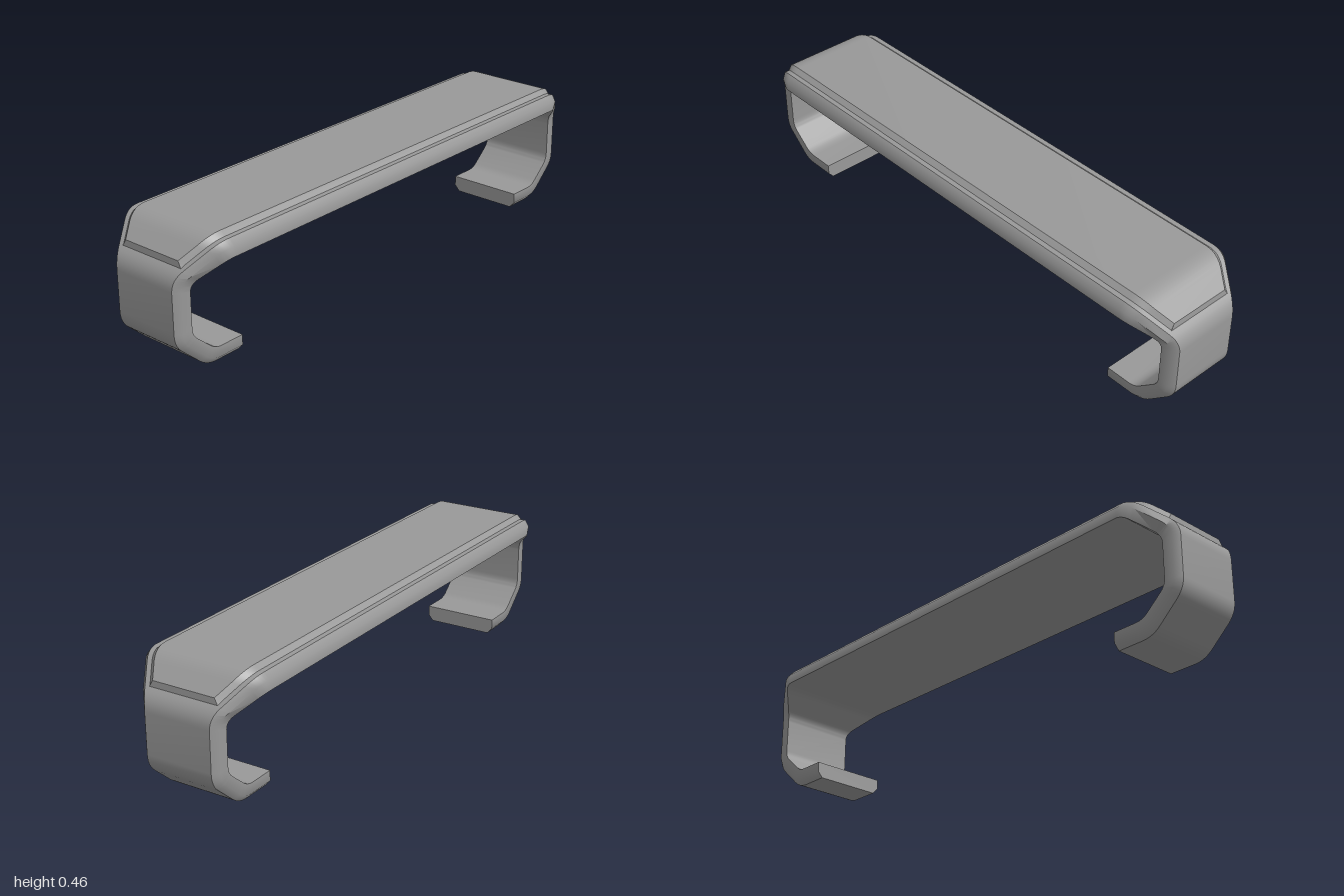
import * as THREE from 'three';
import { toCreasedNormals } from 'three/addons/utils/BufferGeometryUtils.js';

const material = new THREE.MeshStandardMaterial({ color: 0x999999 });

// Mirror half a path, given as [x, y, halfWidth], to the other side
function mirrored(half) {
  return [...half, ...half.map(([x, y, w]) => [-x, y, w]).reverse()].map((p) => new THREE.Vector3(...p));
}

// Round the corners of the path; each station holds position, half width and outward normal
function stationsAlong(points, cut, steps = 6) {
  const stations = [];
  const add = (p, t) => {
    const len = Math.hypot(t.x, t.y);
    stations.push({ x: p.x, y: p.y, w: p.z, nx: t.y / len, ny: -t.x / len });
  };
  const toward = (p, q) => p.clone().lerp(q, cut / Math.hypot(q.x - p.x, q.y - p.y));
  const last = points.length - 1;
  add(points[0], points[1].clone().sub(points[0]));
  for (let i = 1; i < last; i++) {
    const a = toward(points[i], points[i - 1]);
    const b = toward(points[i], points[i + 1]);
    const bend = new THREE.QuadraticBezierCurve3(a, points[i], b);
    for (let k = 0; k <= steps; k++) add(bend.getPoint(k / steps), bend.getTangent(k / steps));
  }
  add(points[last], points[last].clone().sub(points[last - 1]));
  return stations;
}

// Point at a depth below the path and a given z
const below = (s, depth, z) => [s.x - s.nx * depth, s.y - s.ny * depth, z];

// Loft a closed ring of corners through the stations, with end caps
function loft(name, stations, section, crease) {
  const positions = [];
  const index = [];
  let n = 0;
  stations.forEach((s, i) => {
    const ring = section(s, i);
    n = ring.length;
    positions.push(...ring.flat());
  });
  const lastRing = (stations.length - 1) * n;
  for (let o = 0; o < lastRing; o += n) {
    for (let j = 0; j < n; j++) {
      const a = o + j, b = o + (j + 1) % n;
      index.push(a, a + n, b, b, a + n, b + n);
    }
  }
  for (let k = 1; k < n - 1; k++) {
    index.push(0, k, k + 1, lastRing, lastRing + k + 1, lastRing + k);
  }
  const geometry = new THREE.BufferGeometry();
  geometry.setAttribute('position', new THREE.Float32BufferAttribute(positions, 3));
  geometry.setIndex(index);
  const mesh = new THREE.Mesh(toCreasedNormals(geometry, crease), material);
  mesh.name = name;
  return mesh;
}

export function createModel() {
  const group = new THREE.Group();
  group.name = 'clipBracket';

  // Bent strip: hooked ends, narrow sides and a wider top; its chamfers blend softly into the sides
  const outer = stationsAlong(mirrored([
    [0.735, 0, 0.14], [0.872, 0, 0.14], [1, 0.115, 0.14], [1, 0.335, 0.14], [0.875, 0.44, 0.22],
  ]), 0.04);
  const inner = stationsAlong(mirrored([
    [0.735, 0.057, 0.14], [0.85, 0.057, 0.14], [0.943, 0.137, 0.14], [0.943, 0.308, 0.14], [0.854, 0.384, 0.22],
  ]), 0.025);
  group.add(loft('bentStrip', outer, (s, i) => {
    const flat = s.w - 0.019;
    const { x, y, w } = inner[i];
    return [
      below(s, 0, flat), below(s, 0.021, s.w), [x, y, w],
      [x, y, -w], below(s, 0.021, -s.w), below(s, 0, -flat),
    ];
  }, Math.PI / 4));

  // Raised panel over the top and slopes, bevelled all round
  const height = 0.015, sink = 0.002;
  const panel = stationsAlong(mirrored([[0.965, 0.3644, 0.1624], [0.875, 0.44, 0.22]]), 0.04);
  const inset = (s, t) => {
    const f = height / Math.hypot(t.x - s.x, t.y - s.y);
    const mix = (k) => THREE.MathUtils.lerp(s[k], t[k], f);
    return { ...s, x: mix('x'), y: mix('y'), w: mix('w') };
  };
  const end = panel.length - 1;
  panel.splice(end, 0, inset(panel[end], panel[end - 1]));
  panel.splice(1, 0, inset(panel[0], panel[1]));
  group.add(loft('raisedPanel', panel, (s, i) => {
    const atEnd = i === 0 || i === panel.length - 1;
    const base = s.w - 0.035;
    const top = atEnd ? base : s.w - 0.055;
    const d = atEnd ? 0 : -height;
    return [below(s, d, top), below(s, sink, base), below(s, sink, -base), below(s, d, -top)];
  }, 0.5));

  return group;
}
